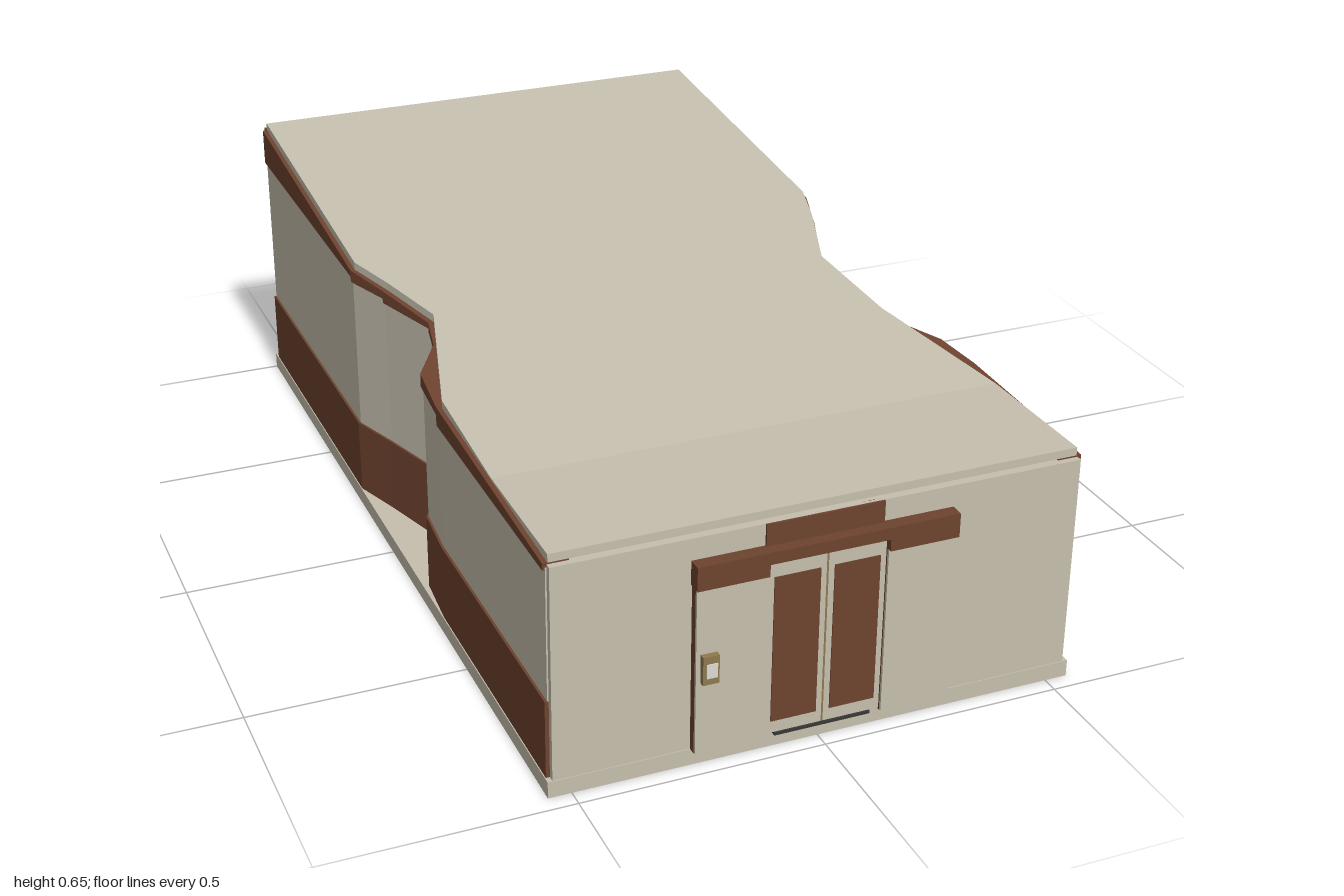
import * as THREE from 'three';

const mat = (name, color) => {
  const m = new THREE.MeshStandardMaterial({ color });
  m.name = name;
  return m;
};

export function createModel() {
  const cream = mat('cream', 0xc6bfae);
  const brown = mat('brown', 0x6e432f);
  const glass = mat('blue grey glass', 0x566872);
  const tan = mat('tan metal', 0x8f7a50);
  const dark = mat('dark threshold', 0x3a3835);
  const pale = mat('pale screen', 0xdcdad2);

  const model = new THREE.Group();
  model.name = 'building';

  const add = (name, geometry, material) => {
    const mesh = new THREE.Mesh(geometry, material);
    mesh.name = name;
    model.add(mesh);
  };
  // Box given by its extents
  const box = (name, material, x0, x1, y0, y1, z0, z1) => {
    const g = new THREE.BoxGeometry(x1 - x0, y1 - y0, z1 - z0);
    g.translate((x0 + x1) / 2, (y0 + y1) / 2, (z0 + z1) / 2);
    add(name, g, material);
  };
  // Flat-shaded solid through four-cornered rings, running from +z to -z
  const loft = (name, material, rings) => {
    const pos = [];
    const quad = (a, b, c, d) => [a, b, c, a, c, d].forEach((p) => pos.push(...p));
    for (let k = 0; k + 1 < rings.length; k++) {
      for (let i = 0; i < 4; i++) {
        const j = (i + 1) % 4;
        quad(rings[k][i], rings[k + 1][i], rings[k + 1][j], rings[k][j]);
      }
    }
    quad(...rings[0]);
    quad(...[...rings[rings.length - 1]].reverse());
    const g = new THREE.BufferGeometry();
    g.setAttribute('position', new THREE.Float32BufferAttribute(pos, 3));
    g.computeVertexNormals();
    add(name, g, material);
  };

  // Roof height: level at the entrance, then rising to the back
  const roofY = (z) => (z >= 0.65 ? 0.505 : 0.505 + (0.145 * (0.65 - z)) / 1.63);
  const underY = (z) => roofY(z) - 0.017;

  box('floorSlab', cream, -0.547, 0.547, 0, 0.035, -1, 0.965);

  // Roof with a waist on both sides; edges listed as [x, z] front to back
  const edgeX = (edge, z) => {
    const i = Math.max(1, edge.findIndex((p) => p[1] <= z + 1e-6));
    const [a, b] = [edge[i - 1], edge[i]];
    return THREE.MathUtils.lerp(a[0], b[0], (a[1] - z) / (a[1] - b[1]));
  };
  const roofLeft = [[0.535, 0.95], [0.53, 0.65], [0.455, 0.3], [0.437, 0.05],
    [0.505, -0.14], [0.535, -0.25], [0.535, -0.98]];
  const roofRight = [[-0.535, 0.95], [-0.535, 0.36], [-0.475, 0.14], [-0.445, 0.03],
    [-0.495, -0.13], [-0.535, -0.24], [-0.535, -0.98]];
  const zs = [...new Set([...roofLeft, ...roofRight].map((p) => p[1]))].sort((a, b) => b - a);
  loft('roof', cream, zs.map((z) => {
    const l = edgeX(roofLeft, z);
    const r = edgeX(roofRight, z);
    return [[l, underY(z), z], [l, roofY(z), z], [r, roofY(z), z], [r, underY(z), z]];
  }));

  // Side walls: points are [distance from centre, z, lower edge of trim behind it]
  const wallLeft = [[0.54, 0.95, 0.474], [0.54, 0.54, 0.482], [0.522, 0.43, 0.496],
    [0.462, 0.32, 0.505], [0.446, 0.19, 0.515], [0.442, 0.03, 0.53],
    [0.502, -0.13, 0.54], [0.54, -0.25, 0.552], [0.54, -0.98, 0.552]];
  const wallRight = [[0.54, 0.95, 0.474], [0.54, 0.35, 0.497], [0.53, 0.22, 0.51],
    [0.47, 0.12, 0.522], [0.452, 0.03, 0.53], [0.502, -0.13, 0.54],
    [0.54, -0.24, 0.552], [0.54, -0.98, 0.552]];
  for (const [side, label, wall] of [[1, 'left', wallLeft], [-1, 'right', wallRight]]) {
    for (let i = 0; i + 1 < wall.length; i++) {
      const a = wall[i];
      const b = wall[i + 1];
      const panel = (name, material, out, thick, y0, top) => loft(label + name, material,
        [a, b].map(([x, z]) => {
          const o = side * (x + out);
          const n = side * (x + out - thick);
          const ring = [[o, y0, z], [o, top(z), z], [n, top(z), z], [n, y0, z]];
          return side > 0 ? ring : ring.reverse();
        }));
      panel('LowerBand', brown, 0.005, 0.02, 0.035, () => 0.2);
      panel('Wall', cream, 0, 0.015, 0.2, () => a[2] + 0.005);
      panel('RoofTrim', brown, 0.005, 0.05, a[2], underY);
    }
  }

  // Front wall and entrance
  box('frontWall', cream, -0.537, 0.537, 0.035, 0.485, 0.945, 0.963);
  box('doorHeader', brown, -0.12, 0.12, 0.415, 0.485, 0.955, 0.968);
  box('lintel', brown, -0.266, 0.266, 0.415, 0.44, 0.96, 0.992);
  box('threshold', dark, -0.1, 0.1, 0.035, 0.041, 0.96, 0.984);
  for (const s of [-1, 1]) {
    const sideBox = (name, m, x0, x1, ...rest) =>
      box(name, m, Math.min(s * x0, s * x1), Math.max(s * x0, s * x1), ...rest);
    sideBox('lintelEnd', brown, 0.122, 0.266, 0.39, 0.415, 0.96, 0.992);
    sideBox('portalCore', brown, 0.122, 0.264, 0.035, 0.39, 0.96, 0.98);
    sideBox('portalFace', cream, 0.122, 0.264, 0.038, 0.39, 0.98, 0.986);
    sideBox('doorLeaf', cream, 0.002, 0.12, 0.041, 0.415, 0.96, 0.98);
    sideBox('doorPanel', brown, 0.014, 0.108, 0.067, 0.38, 0.979, 0.982);
  }
  box('doorSeam', tan, -0.002, 0.002, 0.041, 0.415, 0.96, 0.979);

  // Entry keypad
  box('keypad', tan, -0.255, -0.222, 0.192, 0.252, 0.984, 0.998);
  box('keypadScreen', pale, -0.248, -0.226, 0.206, 0.236, 0.997, 1);

  // Glazed back wall
  box('backGlass', glass, -0.532, 0.532, 0.1, 0.6, -0.978, -0.968);
  box('backSill', brown, -0.535, 0.535, 0.035, 0.11, -0.998, -0.965);
  box('backBeam', brown, -0.537, 0.537, 0.585, 0.634, -0.998, -0.965);
  for (const x of [-0.526, 0, 0.526]) {
    box('windowPost', tan, x - 0.01, x + 0.01, 0.11, 0.585, -0.988, -0.966);
  }
  return model;
}
